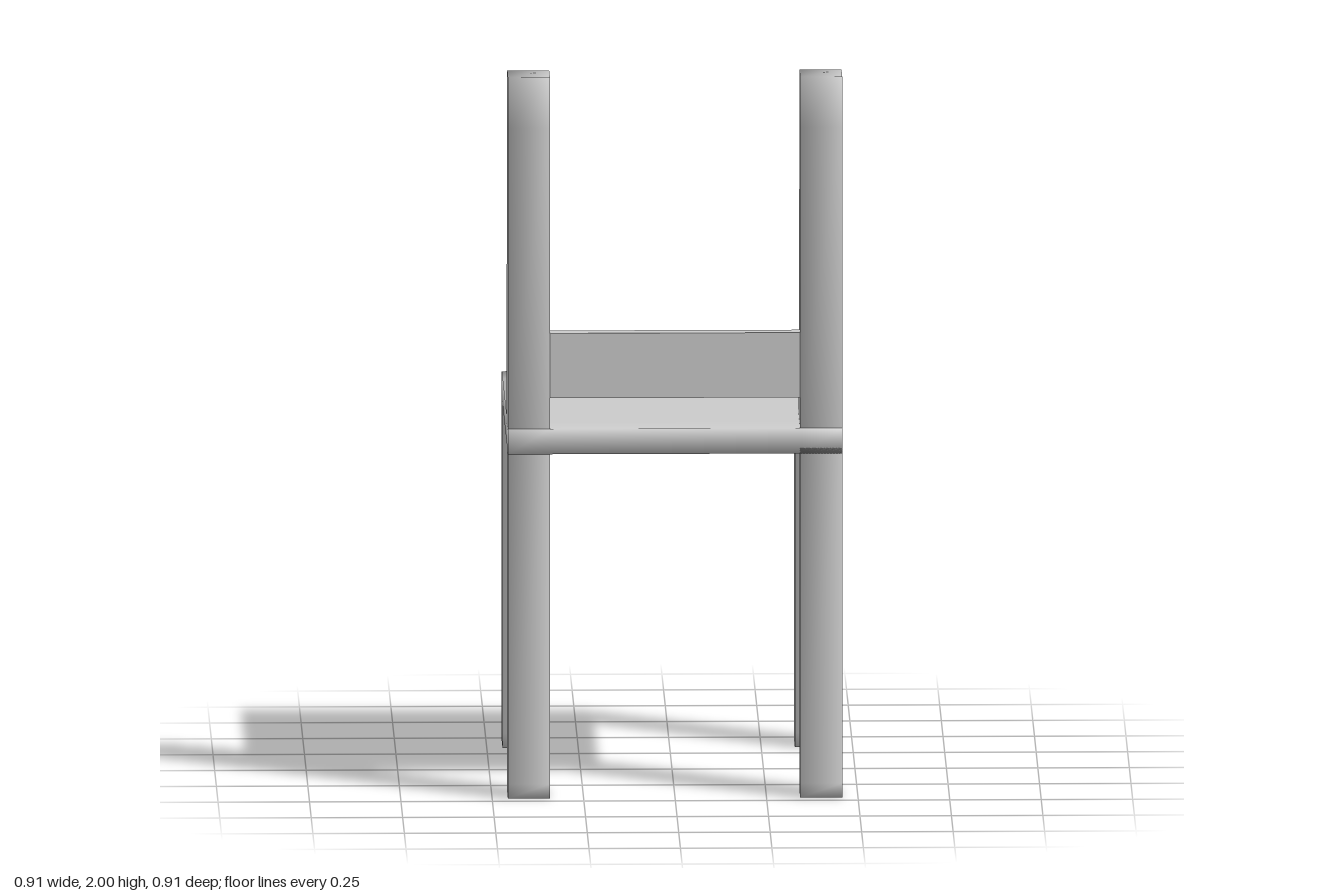
import * as THREE from 'three';
import { mergeVertices } from 'three/addons/utils/BufferGeometryUtils.js';

const HALF = 0.457; // half width and depth of the chair
const INNER = 0.342; // inner face of legs and posts
const MID = (HALF + INNER) / 2;
const THICK = HALF - INNER;

// Share the corners so shading runs smoothly over the edges
function smooth(geometry) {
  geometry.deleteAttribute('uv');
  geometry.deleteAttribute('normal');
  const merged = mergeVertices(geometry);
  merged.computeVertexNormals();
  return merged;
}

// Move each vertex of a geometry by a rule
function reshape(geometry, rule) {
  const p = geometry.attributes.position;
  const v = new THREE.Vector3();
  for (let i = 0; i < p.count; i++) {
    v.fromBufferAttribute(p, i);
    rule(v);
    p.setXYZ(i, v.x, v.y, v.z);
  }
  return geometry;
}

export function createModel() {
  const chair = new THREE.Group();
  chair.name = 'chair';
  const grey = new THREE.MeshStandardMaterial({ color: 0xcccccc });
  grey.name = 'paleGrey';

  function add(name, geometry, x, y, z) {
    const mesh = new THREE.Mesh(geometry, grey);
    mesh.name = name;
    mesh.position.set(x, y, z);
    chair.add(mesh);
  }

  // Seat slab, with edge loops lined up with the legs
  const seat = reshape(new THREE.BoxGeometry(2, 0.07, 2, 3, 1, 3), (v) => {
    v.x = Math.sign(v.x) * (Math.abs(v.x) > 0.5 ? HALF : INNER);
    v.z = Math.sign(v.z) * (Math.abs(v.z) > 0.5 ? HALF : INNER);
  });
  add('seat', smooth(seat), 0, 0.99, 0);

  // Leg, with a loop close to the foot
  const leg = smooth(reshape(new THREE.BoxGeometry(THICK, 2, THICK, 1, 2, 1), (v) => {
    v.y = v.y < -0.5 ? 0 : v.y > 0.5 ? 0.97 : 0.04;
  }));

  // Back post, tapering upwards on the seat side
  const post = smooth(reshape(new THREE.BoxGeometry(THICK, 2, 2, 1, 2, 1), (v) => {
    const seatSide = v.z < 0;
    const low = v.y < -0.5;
    v.z = seatSide ? (low ? 0.23 : INNER) : HALF;
    v.y = low ? (seatSide ? 1.008 : 1.022) : v.y > 0.5 ? 2 : 1.86;
  }));

  for (const [side, x] of [['left', MID], ['right', -MID]]) {
    add(side + 'LegPlusZ', leg, x, 0, MID);
    add(side + 'LegMinusZ', leg, x, 0, -MID);
    add(side + 'BackPost', post, x, 0, 0);
  }

  // Slat between the posts
  add('backSlat', new THREE.BoxGeometry(2 * INNER, 0.18, 0.045), 0, 1.2, 0.432);

  return chair;
}
